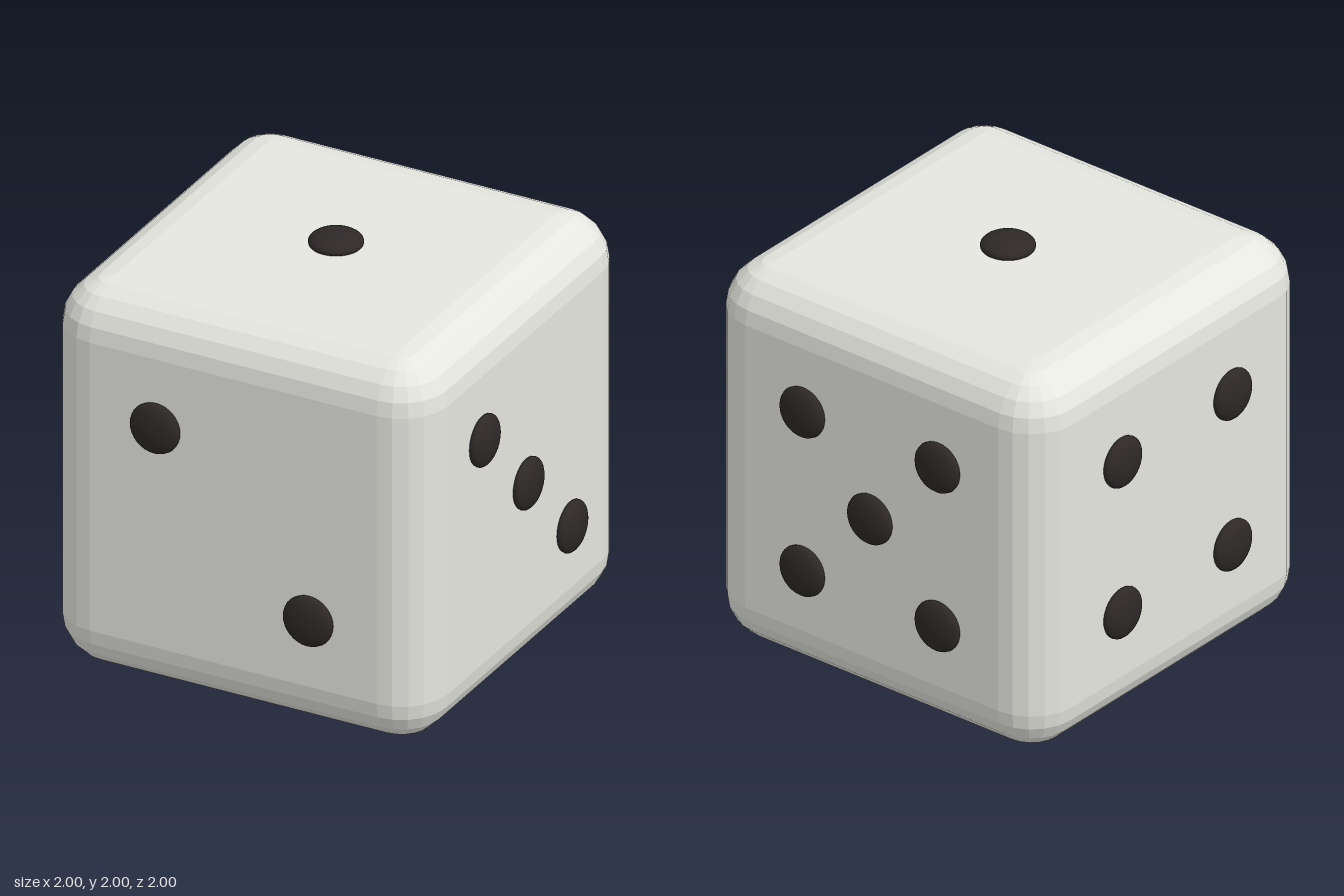
import * as THREE from 'three';

const HALF = 0.942, RADIUS = 0.23, STEPS = 5, CORE = HALF - RADIUS;
const CENTRE_Y = 1.0;

// Rounded cube: a faceted sphere split into eight octants that are pushed apart
function roundedCube() {
  const n = STEPS + 1, cols = 4 * n, rows = 2 * n + 1;
  const geo = new THREE.PlaneGeometry(1, 1, cols, rows);
  const pos = geo.attributes.position;
  const step = Math.PI / 2 / STEPS;
  for (let i = 0; i < pos.count; i++) {
    const col = i % (cols + 1), row = Math.floor(i / (cols + 1));
    // first and last rows close the top and bottom faces
    if (row === 0 || row === rows) {
      pos.setXYZ(i, 0, row === 0 ? HALF : -HALF, 0);
      continue;
    }
    const quadrant = Math.floor(col / n), lower = Math.floor((row - 1) / n);
    const lon = (quadrant * STEPS + (col % n)) * step;
    const polar = (lower * STEPS + ((row - 1) % n)) * step;
    const mid = (quadrant + 0.5) * Math.PI / 2;
    pos.setXYZ(i,
      Math.sign(Math.sin(mid)) * CORE + RADIUS * Math.sin(polar) * Math.sin(lon),
      (lower ? -1 : 1) * CORE + RADIUS * Math.cos(polar),
      Math.sign(Math.cos(mid)) * CORE + RADIUS * Math.sin(polar) * Math.cos(lon));
  }
  const flat = geo.toNonIndexed();
  flat.computeVertexNormals();
  return flat;
}

export function createModel() {
  const group = new THREE.Group();
  const bodyMat = new THREE.MeshStandardMaterial({ color: 0xe6e6e0, flatShading: true });
  const pipMat = new THREE.MeshStandardMaterial({ color: 0x2e2828 });

  const body = new THREE.Mesh(roundedCube(), bodyMat);
  body.name = 'body';
  body.position.y = CENTRE_Y;
  group.add(body);

  // Pips: flattened spheres half sunk into each face
  const pipGeo = new THREE.SphereGeometry(0.123, 32, 16);
  pipGeo.scale(1, 0.045 / 0.123, 1);
  const a = 0.38, b = 0.4, D = 0.955;
  const up = new THREE.Vector3(0, 1, 0);
  const faces = [
    { name: 'topPip', normal: [0, 1, 0], at: [[0, 0, 0]] },
    { name: 'frontPip', normal: [0, 0, 1], at: [[-a, a, 0], [a, -a, 0]] },
    { name: 'leftPip', normal: [1, 0, 0], at: [[0, b, b], [0, 0, 0], [0, -b, -b]] },
    { name: 'rightPip', normal: [-1, 0, 0], at: [[0, a, a], [0, a, -a], [0, -a, a], [0, -a, -a]] },
    { name: 'backPip', normal: [0, 0, -1], at: [[a, b, 0], [-a, b, 0], [0, 0, 0], [a, -b, 0], [-a, -b, 0]] },
    { name: 'bottomPip', normal: [0, -1, 0], at: [-a, a].flatMap(x => [-0.41, 0, 0.41].map(z => [x, 0, z])) },
  ];
  for (const { name, normal, at } of faces) {
    const dir = new THREE.Vector3(...normal);
    for (const p of at) {
      const pip = new THREE.Mesh(pipGeo, pipMat);
      pip.name = name;
      pip.quaternion.setFromUnitVectors(up, dir);
      pip.position.set(...p).addScaledVector(dir, D);
      pip.position.y += CENTRE_Y;
      group.add(pip);
    }
  }
  return group;
}
